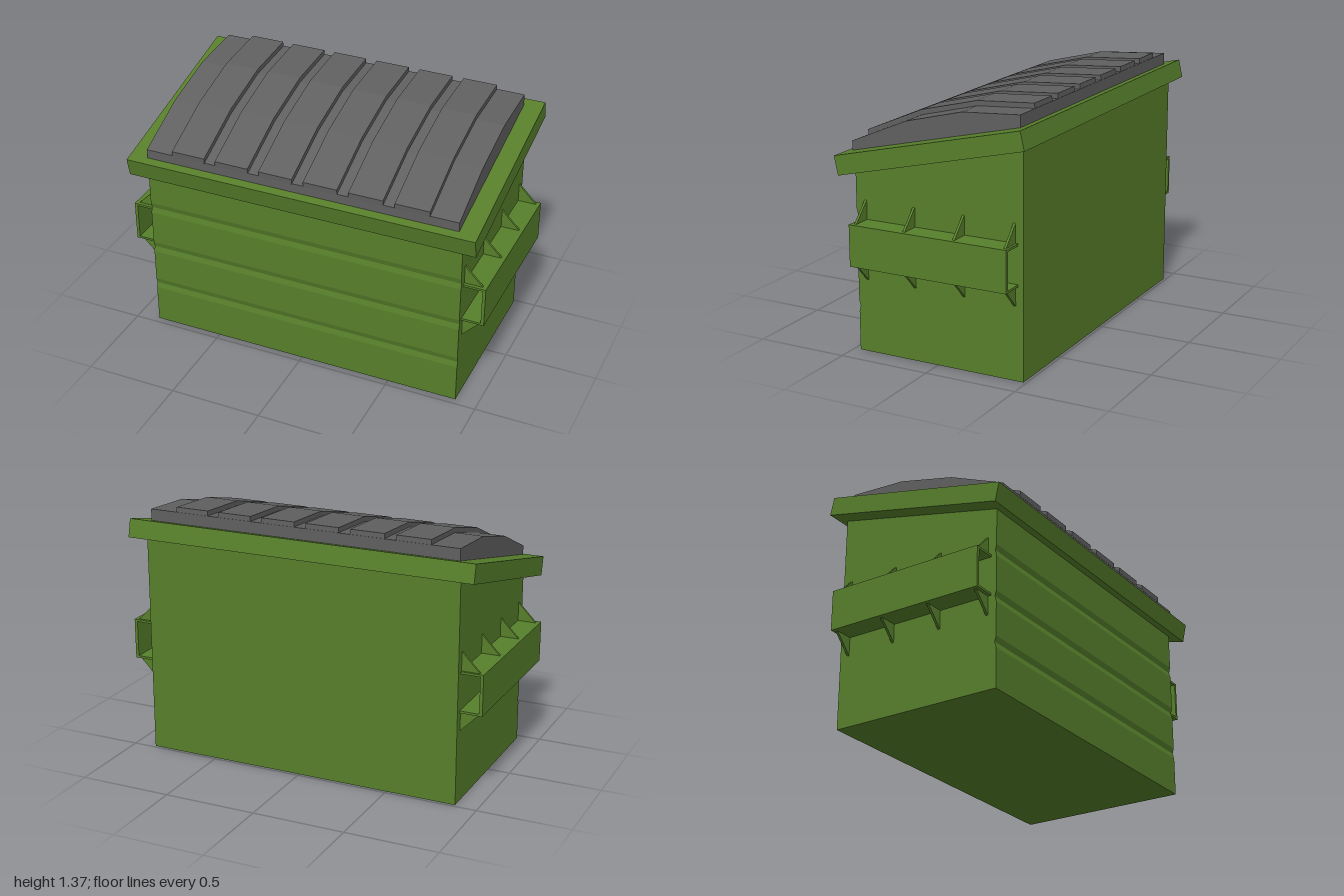
import * as THREE from 'three';

const green = new THREE.MeshStandardMaterial({ color: 0x577f2b, flatShading: true });
const grey = new THREE.MeshStandardMaterial({ color: 0x606060, flatShading: true });

// Extrude an outline of [a, b] points, centred on its depth
function prism(points, depth) {
  const shape = new THREE.Shape(points.map(([a, b]) => new THREE.Vector2(a, b)));
  return new THREE.ExtrudeGeometry(shape, { depth, bevelEnabled: false }).translate(0, 0, -depth / 2);
}

// Side profile of [z, y] points, swept across x
function sideProfile(points, x0, x1) {
  return prism(points.map(([z, y]) => [-z, y]), x1 - x0)
    .rotateY(Math.PI / 2)
    .translate((x0 + x1) / 2, 0, 0);
}

export function createModel() {
  const model = new THREE.Group();
  const add = (name, geometry, material, parent = model) => {
    const mesh = new THREE.Mesh(geometry, material);
    mesh.name = name;
    parent.add(mesh);
    return mesh;
  };

  // Body with three shallow V grooves pressed into the front
  const body = [[-0.485, 1.22], [-0.485, 0], [0.465, 0]];
  for (const y of [0.24, 0.48, 0.73]) {
    body.push([0.465, y - 0.03], [0.457, y], [0.465, y + 0.03]);
  }
  body.push([0.465, 1.0]);
  add('body', sideProfile(body, -0.88, 0.88), green);

  // Sloping rim
  add('rim', sideProfile([[0.535, 1.045], [0.513, 0.945], [-0.533, 1.193], [-0.511, 1.29]], -0.965, 0.965), green);

  // Arched lid with raised panels
  const lid = new THREE.Group();
  lid.name = 'lid';
  model.add(lid);
  const arch = [[0.49, 1.105], [0.175, 1.24], [-0.143, 1.32], [-0.46, 1.34]];
  add('lidBase', sideProfile([[-0.46, 1.27], [0.49, 1.045], ...arch], -0.865, 0.865), grey, lid);
  const raised = arch.map(([z, y]) => [z + 0.004, y + 0.026]);
  const underside = arch.map(([z, y]) => [z + 0.002, y - 0.005]).reverse();
  for (let i = 0; i < 6; i++) {
    const x = -0.62 + i * 0.248;
    add('lidPanel' + (i + 1), sideProfile([...raised, ...underside], x - 0.093, x + 0.093), grey, lid);
  }

  // Fork pockets: open-ended channels braced by triangular gussets
  for (const side of [1, -1]) {
    const pocket = new THREE.Group();
    pocket.name = side > 0 ? 'leftForkPocket' : 'rightForkPocket';
    model.add(pocket);
    const mirrored = (points) => points.map(([x, y]) => [x * side, y]);
    const channel = [
      [0.875, 0.49], [1, 0.49], [1, 0.71], [0.875, 0.71],
      [0.875, 0.698], [0.983, 0.698], [0.983, 0.502], [0.875, 0.502],
    ];
    add('channel', prism(mirrored(channel), 0.89).translate(0, 0, -0.01), green, pocket);
    for (const z of [0.41, 0.128, -0.154, -0.436]) {
      for (const [edge, tip] of [[0.705, 0.81], [0.495, 0.39]]) {
        const gusset = mirrored([[0.875, edge], [0.983, edge], [0.88, tip], [0.875, tip]]);
        add('gusset', prism(gusset, 0.013).translate(0, 0, z), green, pocket);
      }
    }
  }
  return model;
}
